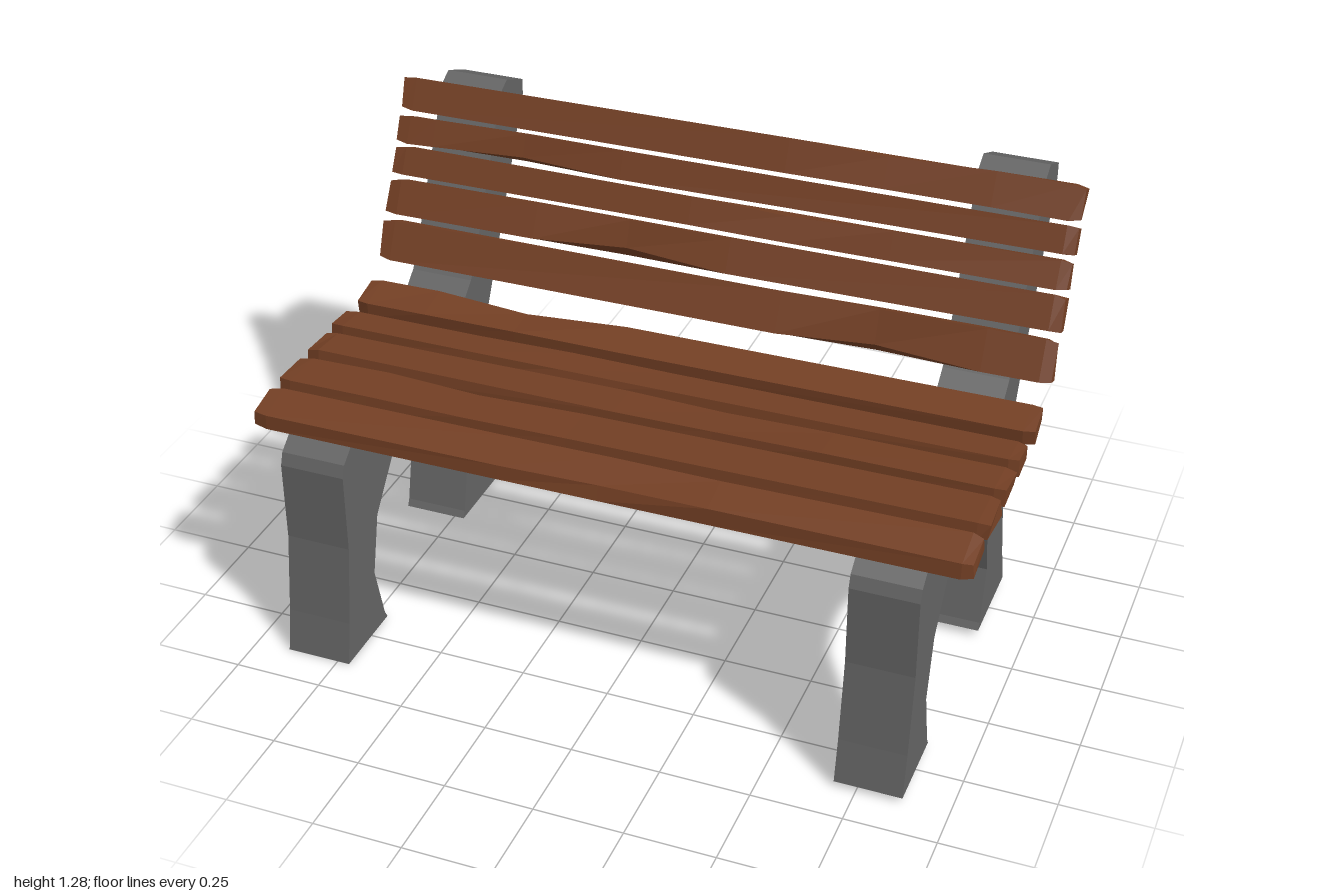
import * as THREE from 'three';

// small seeded generator for the hand-hewn unevenness of the planks
let seed = 7;
const jitter = (a) => {
  seed = (seed * 16807) % 2147483647;
  return (seed / 2147483647 - 0.5) * 2 * a;
};

// side outline of one cast support, as [z, y]
const SUPPORT = [
  [0.638, 0.017], [0.615, 0.14], [0.585, 0.37], [0.585, 0.6], [0.572, 0.635], [0.53, 0.667],
  [0.44, 0.69], [-0.05, 0.69], [-0.16, 0.715], [-0.235, 0.775], [-0.255, 0.8], [-0.485, 1.257],
  [-0.53, 1.28], [-0.635, 1.237], [-0.635, 1.19], [-0.27, 0.5], [-0.27, 0.44], [-0.285, 0.37],
  [-0.34, 0.14], [-0.38, 0.024], [-0.105, 0.024], [-0.115, 0.045], [-0.152, 0.205],
  [-0.115, 0.375], [0, 0.505], [0.15, 0.552], [0.305, 0.505], [0.415, 0.375], [0.456, 0.205],
  [0.415, 0.04], [0.402, 0.017],
];

function supportGeometry() {
  const shape = new THREE.Shape(SUPPORT.map(([z, y]) => new THREE.Vector2(z, y)));
  const geo = new THREE.ExtrudeGeometry(shape, { depth: 0.185, bevelEnabled: false });
  geo.rotateY(-Math.PI / 2); // outline x becomes z, depth runs towards -x
  return geo;
}

// plank lofted along x from a [z, y] quad: front-low, front-top, back-top, back-low
function plankGeometry(quad, dentX, dentCorner, dent) {
  const cz = quad.reduce((s, p) => s + p[0], 0) / 4;
  const cy = quad.reduce((s, p) => s + p[1], 0) / 4;
  const stations = [-0.995, -0.96, dentX - 0.28, dentX, dentX + 0.3, 0.96, 0.99];
  const pos = [];
  const index = [];
  stations.forEach((x, i) => {
    const end = i === 0 || i === stations.length - 1;
    quad.forEach(([z, y], k) => {
      let s = end ? 0.88 : 1;
      if (i === 3 && k === dentCorner) s -= dent;
      pos.push(x + (end ? jitter(0.004) : 0),
        cy + (y - cy) * s + jitter(0.003) + (x - 0.9) * 0.005,
        cz + (z - cz) * s + jitter(0.003));
    });
  });
  for (let i = 0; i < stations.length - 1; i++) {
    for (let k = 0; k < 4; k++) {
      const a = i * 4 + k, b = i * 4 + (k + 1) % 4;
      index.push(a, a + 4, b + 4, a, b + 4, b);
    }
  }
  const e = (stations.length - 1) * 4;
  index.push(0, 1, 2, 0, 2, 3, e, e + 3, e + 2, e, e + 2, e + 1);
  const geo = new THREE.BufferGeometry();
  geo.setAttribute('position', new THREE.Float32BufferAttribute(pos, 3));
  geo.setIndex(index);
  const flat = geo.toNonIndexed();
  flat.computeVertexNormals();
  return flat;
}

export function createModel() {
  seed = 7;
  const model = new THREE.Group();
  model.name = 'parkBench';

  const iron = new THREE.MeshStandardMaterial({ color: 0x646464 });
  iron.name = 'castIron';
  const wood = new THREE.MeshStandardMaterial({ color: 0x733f24 });
  wood.name = 'brownWood';

  const add = (parent, name, geo, mat) => {
    const mesh = new THREE.Mesh(geo, mat);
    mesh.name = name;
    parent.add(mesh);
    return mesh;
  };

  // two supports, the right one standing slightly lower
  const support = supportGeometry();
  add(model, 'leftSupport', support, iron).position.set(0.875, 0, 0);
  add(model, 'rightSupport', support, iron).position.set(-0.715, -0.015, 0);

  // seat planks: quad, dent position, dented corner, dent depth
  const seat = new THREE.Group();
  seat.name = 'seat';
  model.add(seat);
  [
    [[[0.543, 0.668], [0.54, 0.713], [0.44, 0.737], [0.433, 0.694]], 0.0, 1, 0.1],
    [[[0.407, 0.694], [0.402, 0.743], [0.268, 0.737], [0.268, 0.692]], -0.45, 2, 0.15],
    [[[0.245, 0.694], [0.24, 0.745], [0.12, 0.735], [0.123, 0.692]], 0.2, 2, 0.12],
    [[[0.1, 0.694], [0.094, 0.745], [-0.01, 0.735], [-0.01, 0.692]], -0.3, 1, 0.12],
    [[[-0.06, 0.692], [-0.056, 0.737], [-0.158, 0.76], [-0.16, 0.718]], -0.5, 2, 0.3],
  ].forEach((p, i) => add(seat, `seatPlank${i + 1}`, plankGeometry(...p), wood));

  // backrest planks follow the slope of the supports: low y, high y and dent
  const backrest = new THREE.Group();
  backrest.name = 'backrest';
  model.add(backrest);
  [
    [0.8, 0.905, 0.5, 0, 0.35],
    [0.923, 1.012, -0.25, 0, 0.4],
    [1.024, 1.096, 0.2, 1, 0.2],
    [1.108, 1.178, -0.6, 0, 0.35],
    [1.192, 1.276, 0.45, 1, 0.15],
  ].forEach(([y0, y1, ...dent], i) => {
    const z = (y) => -0.205 - (y - 0.8) * 0.505;
    const quad = [[z(y0), y0], [z(y1), y1], [z(y1) - 0.041, y1 - 0.02], [z(y0) - 0.041, y0 - 0.02]];
    add(backrest, `backPlank${i + 1}`, plankGeometry(quad, ...dent), wood);
  });

  return model;
}
